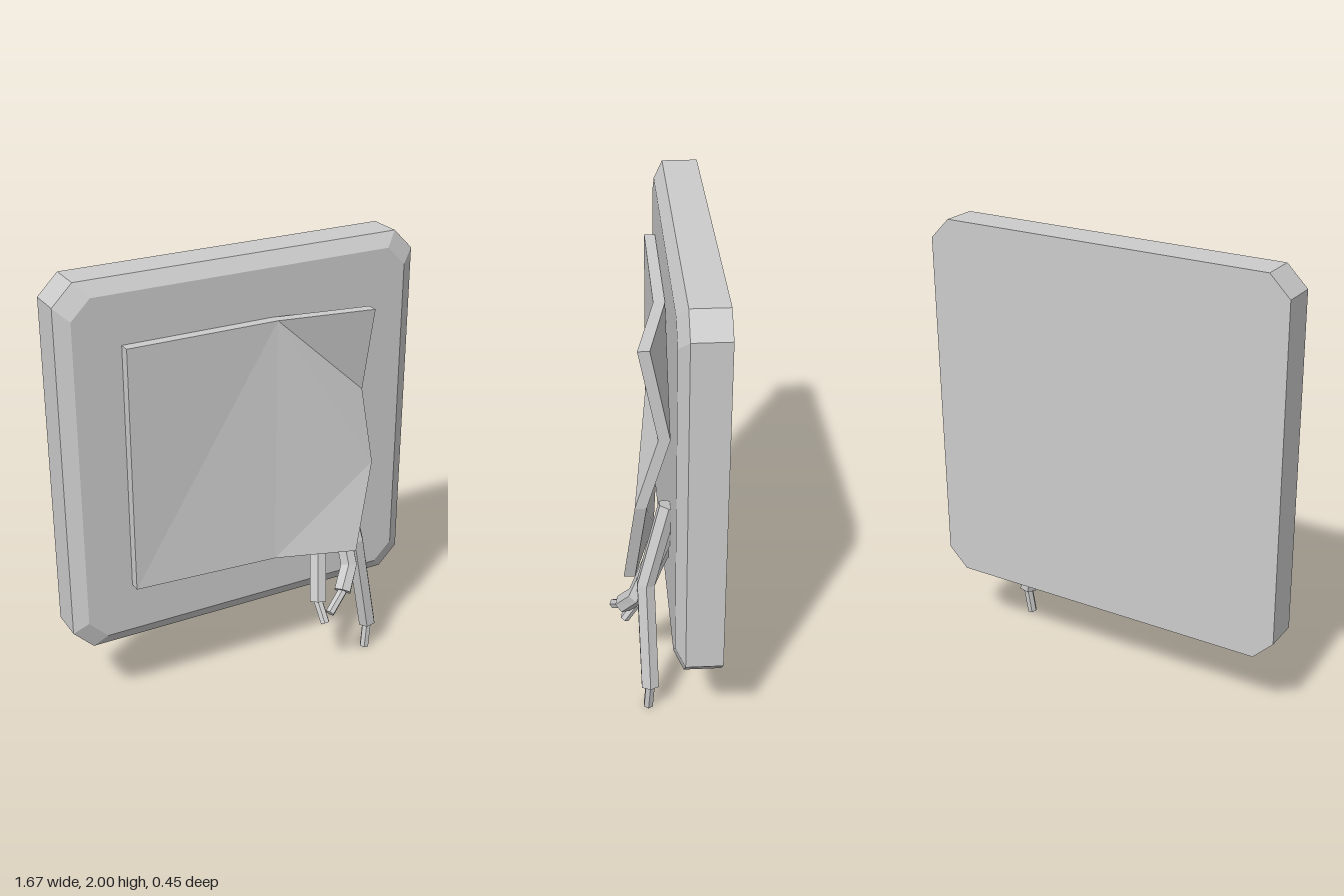
import * as THREE from 'three';

const material = new THREE.MeshStandardMaterial({ color: 0xcccccc, flatShading: true });

// Skin a list of equal-length rings (counter-clockwise about the direction of travel) and cap both ends
function loft(name, rings, capFaces) {
  const n = rings[0].length;
  const index = [];
  for (let k = 0; k < rings.length - 1; k++) {
    for (let i = 0; i < n; i++) {
      const j = (i + 1) % n;
      const a = k * n + i, b = k * n + j, c = b + n, d = a + n;
      index.push(a, b, c, a, c, d);
    }
  }
  const faces = capFaces ?? Array.from({ length: n - 2 }, (_, i) => [0, i + 1, i + 2]);
  const last = (rings.length - 1) * n;
  for (const [a, b, c] of faces) {
    index.push(a, c, b);
    index.push(last + a, last + b, last + c);
  }
  const indexed = new THREE.BufferGeometry();
  indexed.setAttribute('position', new THREE.Float32BufferAttribute(rings.flat(2), 3));
  indexed.setIndex(index);
  const geometry = indexed.toNonIndexed();
  geometry.computeVertexNormals();
  const mesh = new THREE.Mesh(geometry, material);
  mesh.name = name;
  return mesh;
}

// Square outline with cut corners
function cutSquare(half, cut, z) {
  const c = half - cut;
  return [[half, -c], [half, c], [c, half], [-c, half], [-half, c], [-half, -c], [-c, -half], [c, -half]]
    .map(([x, y]) => [x, y + 1.168, z]);
}

// Six-sided rod following a polyline with mitred bends
function rod(name, path, radius) {
  const pts = path.map(p => new THREE.Vector3(...p));
  const rings = pts.map((p, k) => {
    const into = p.clone().sub(pts[Math.max(k - 1, 0)]).normalize();
    const out = pts[Math.min(k + 1, pts.length - 1)].clone().sub(p).normalize();
    const t = into.add(out).normalize();
    const u = new THREE.Vector3(1, 0, 0).addScaledVector(t, -t.x).normalize();
    const v = t.clone().cross(u);
    return Array.from({ length: 6 }, (_, i) => {
      const a = i * Math.PI / 3;
      return p.clone()
        .addScaledVector(u, radius * Math.cos(a))
        .addScaledVector(v, radius * Math.sin(a)).toArray();
    });
  });
  return loft(name, rings);
}

// Insulated wire with a bare core at its end
function wire(name, path, tip) {
  const group = new THREE.Group();
  group.name = name;
  group.add(rod('insulation', path, 0.042));
  group.add(rod('bareCore', [path[path.length - 1], tip], 0.022));
  return group;
}

export function createModel() {
  const model = new THREE.Group();
  model.name = 'brokenWallPanel';

  // Wall panel with cut corners and a bevelled front
  model.add(loft('wallPanel', [
    cutSquare(0.833, 0.09, -0.225),
    cutSquare(0.833, 0.09, -0.07),
    cutSquare(0.773, 0.085, -0.03),
  ]));

  // Cover plate whose right side is pried up and creased
  const front = [
    [-0.565, 1.725, 0.02], [-0.565, 0.62, 0.02], [0.09, 0.62, 0.065], [0.455, 0.61, 0.165],
    [0.55, 1.02, 0.12], [0.545, 1.335, 0.025], [0.545, 1.73, 0.105], [0.12, 1.725, 0.02],
  ];
  const back = front.map(([x, y, z]) => [x, y, z - 0.048]);
  model.add(loft('bentCover', [back, front],
    [[7, 0, 1], [7, 1, 2], [7, 2, 4], [2, 3, 4], [7, 4, 5], [7, 5, 6]]));

  // Torn wires hanging out from behind the cover
  model.add(wire('longWire',
    [[0.455, 0.97, -0.02], [0.505, 0.61, 0.075], [0.6, 0.13, 0.062]], [0.585, 0.003, 0.07]));
  model.add(wire('bentWire',
    [[0.44, 0.9, -0.04], [0.455, 0.51, 0.11], [0.39, 0.415, 0.165]], [0.3, 0.345, 0.205]));
  model.add(wire('shortWire',
    [[0.37, 0.78, -0.04], [0.335, 0.58, 0.03], [0.3, 0.355, 0.1]], [0.305, 0.265, 0.16]));

  return model;
}
